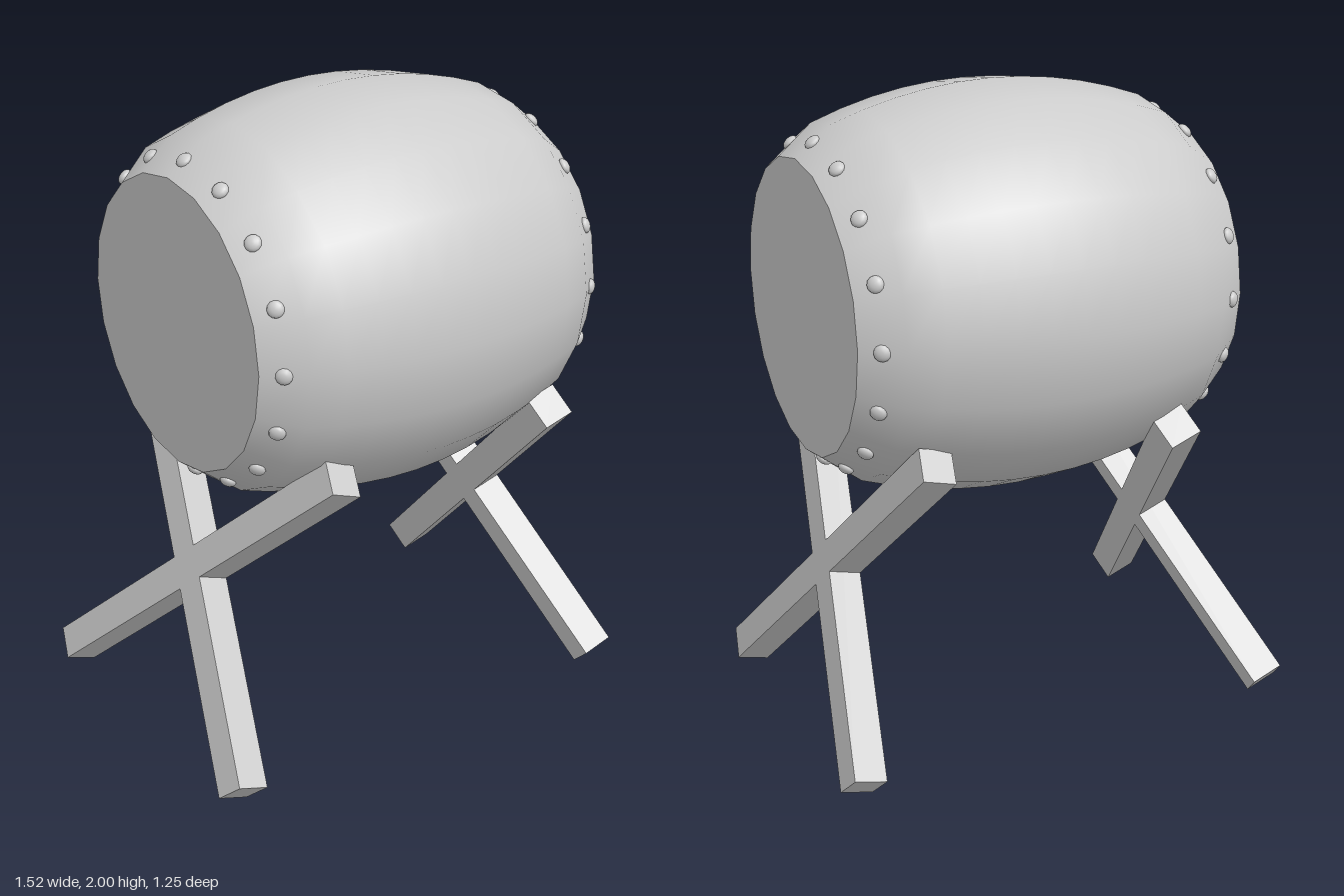
import * as THREE from 'three';

const SIDES = 20;
const HALF = 0.6175;     // half length of the barrel
const END_R = 0.445;     // radius of the drum heads
const SHOULDER = 0.505;  // where the bulge meets the steeper rim
const SHOULDER_R = 0.533;
const MAX_R = 0.625;

const material = new THREE.MeshStandardMaterial({ color: 0xcccccc });

function addMesh(parent, name, geometry) {
  const mesh = new THREE.Mesh(geometry, material);
  mesh.name = name;
  parent.add(mesh);
  return mesh;
}

// Bulging barrel lying along x, closed by two flat heads
function createBarrel() {
  const barrel = new THREE.Group();
  barrel.name = 'barrel';
  const profile = [new THREE.Vector2(END_R, -HALF)];
  const steps = 10;
  for (let i = 0; i <= steps; i++) {
    const t = (i / steps) * 2 - 1;
    profile.push(new THREE.Vector2(MAX_R - (MAX_R - SHOULDER_R) * t * t, t * SHOULDER));
  }
  profile.push(new THREE.Vector2(END_R, HALF));
  const shell = addMesh(barrel, 'barrelShell', new THREE.LatheGeometry(profile, SIDES));
  shell.rotation.z = -Math.PI / 2;

  for (const side of [-1, 1]) {
    const head = addMesh(barrel, side > 0 ? 'leftHead' : 'rightHead', new THREE.CircleGeometry(END_R, SIDES));
    head.rotation.y = side * Math.PI / 2;
    head.position.x = side * HALF;
  }
  return barrel;
}

// Ring of flattened tacks set into the sloping rim
function createTacks(side) {
  const ring = new THREE.Group();
  ring.name = side > 0 ? 'leftTacks' : 'rightTacks';
  const geometry = new THREE.SphereGeometry(0.025, 12, 8).scale(1, 0.6, 1);
  const slope = Math.atan2(SHOULDER_R - END_R, HALF - SHOULDER);
  const up = new THREE.Vector3(0, 1, 0);
  const count = 16;
  for (let i = 0; i < count; i++) {
    const a = (i / count) * Math.PI * 2;
    const tack = addMesh(ring, 'tack', geometry);
    tack.position.set(side * 0.5625, Math.cos(a) * 0.486, Math.sin(a) * 0.486);
    const normal = new THREE.Vector3(
      side * Math.sin(slope), Math.cos(slope) * Math.cos(a), Math.cos(slope) * Math.sin(a));
    tack.quaternion.setFromUnitVectors(up, normal);
  }
  return ring;
}

// Two square bars crossing at right angles, leaning in towards the barrel
function createTrestle(name, x, y, lean) {
  const trestle = new THREE.Group();
  trestle.name = name;
  for (const s of [-1, 1]) {
    const bar = addMesh(trestle, 'crossBar', new THREE.BoxGeometry(0.104, 1.42, 0.104));
    bar.rotation.x = s * Math.PI / 4;
  }
  trestle.position.set(x, y, 0);
  trestle.rotation.z = THREE.MathUtils.degToRad(lean);
  return trestle;
}

export function createModel() {
  const model = new THREE.Group();
  model.name = 'drumOnStand';

  const drum = new THREE.Group();
  drum.name = 'drum';
  drum.position.set(0.0385, 1.375, 0);
  drum.add(createBarrel(), createTacks(-1), createTacks(1));

  model.add(
    drum,
    createTrestle('rightTrestle', -0.518, 0.542, -21.2),
    createTrestle('leftTrestle', 0.572, 0.535, 14.4)
  );
  return model;
}
